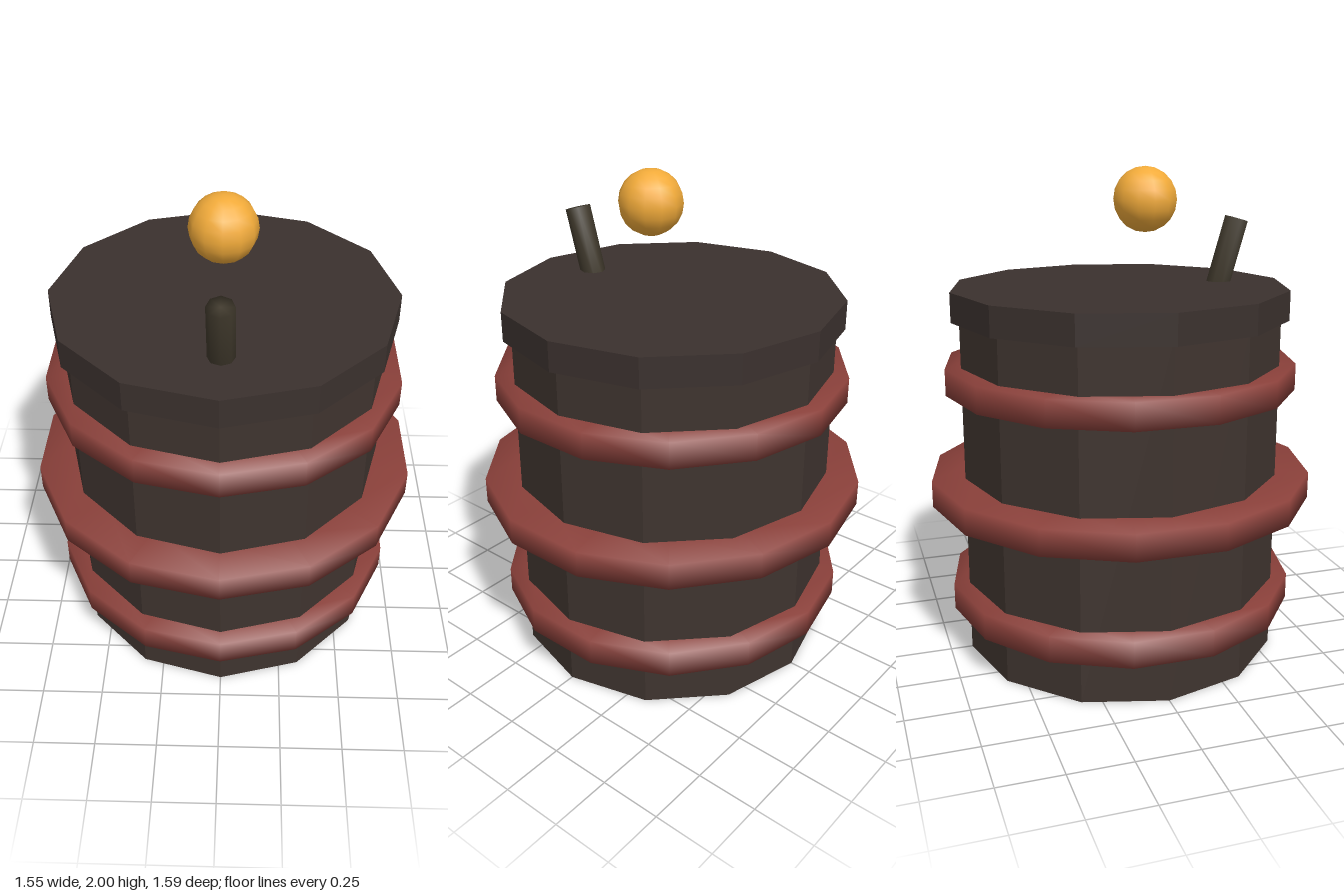
import * as THREE from 'three';

const mat = (color, flatShading = false) => new THREE.MeshStandardMaterial({ color, flatShading });

// Revolve a [radius, height] profile, listed bottom to top, with soft normals
const revolve = (points, sides) =>
  new THREE.LatheGeometry(points.map(([r, y]) => new THREE.Vector2(r, y)), sides);

export function createModel() {
  const model = new THREE.Group();
  model.name = 'barrel';

  const add = (name, geometry, material, x, y, z) => {
    const mesh = new THREE.Mesh(geometry, material);
    mesh.name = name;
    mesh.position.set(x, y, z);
    model.add(mesh);
    return mesh;
  };

  const wood = mat(0x3f342f, true);
  const red = mat(0x8a403a);

  // Twelve-sided barrel and its slightly wider lid
  add('barrelBody', new THREE.CylinderGeometry(0.66, 0.66, 1.43, 12), wood, 0, 0.715, 0);
  add('lid', new THREE.CylinderGeometry(0.693, 0.693, 0.12, 12), mat(0x3b312e, true), 0, 1.467, 0);

  // Three fourteen-sided hoops, the middle one widest
  const half = 0.054;
  [['lowerHoop', 0.725, 0.243], ['middleHoop', 0.797, 0.705], ['upperHoop', 0.725, 1.168]]
    .forEach(([name, radius, y]) => {
      const profile = [[0.61, -half], [radius, -half], [radius, half], [0.61, half]];
      add(name, revolve(profile, 14), red, 0, y, 0);
    });

  // Stubby fuse leaning forward out of the lid
  const fuse = add('fuse', revolve([[0, -0.16], [0.052, -0.16], [0.052, 0.16], [0, 0.16]], 8),
    mat(0x40392c), 0, 1.63, 0.466);
  fuse.rotation.x = 0.28;

  // Spark hovering above the lid
  add('spark', new THREE.SphereGeometry(0.131, 12, 10), mat(0xf2ab3a), 0, 1.869, 0.108);

  return model;
}
